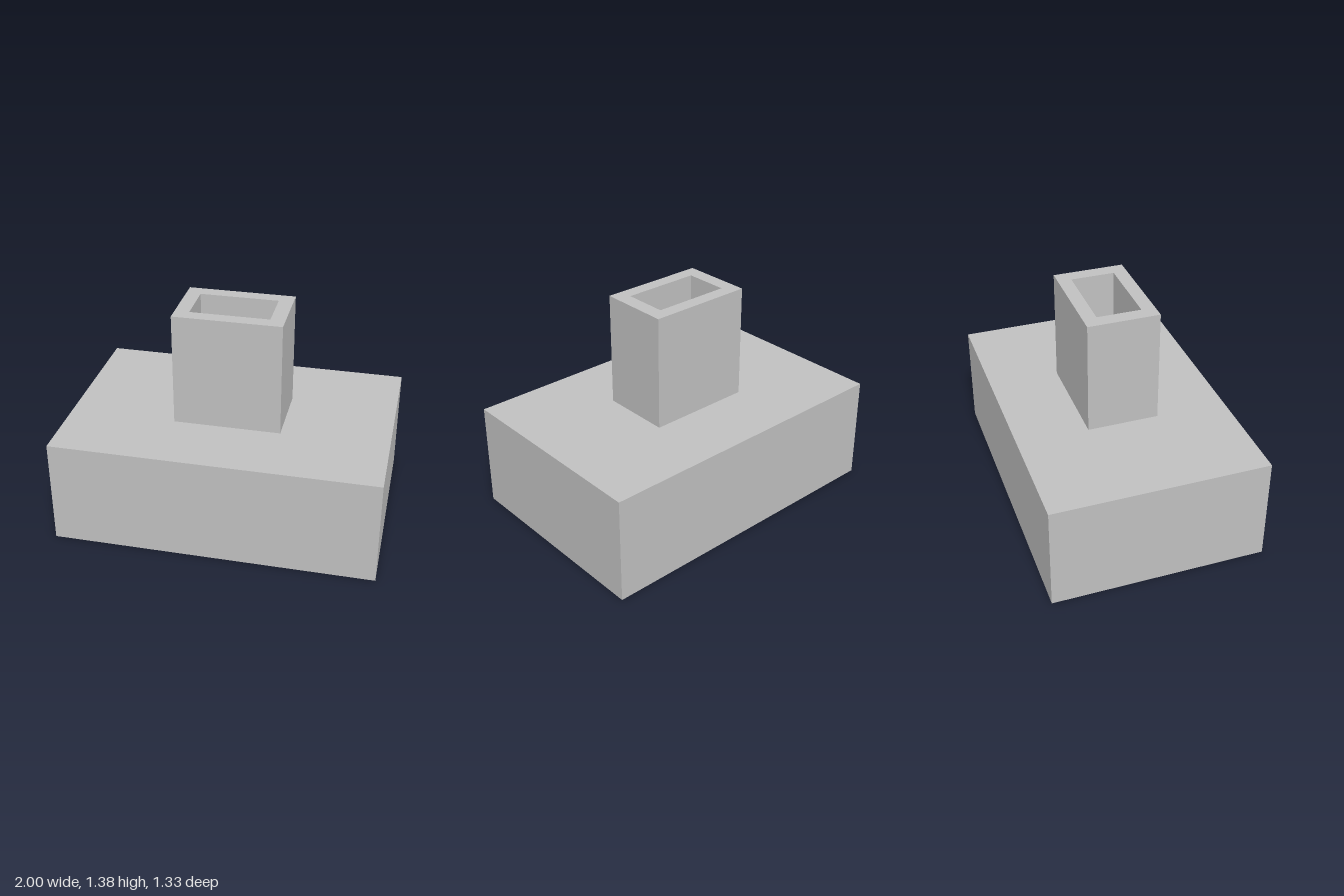
import * as THREE from 'three';

const WIDTH = 2, DEPTH = 1.333, BASE_H = 0.667, TOP = 1.38;

// Rectangle centred on the origin
function rectangle(PathType, w, d) {
  const x = w / 2, y = d / 2;
  return new PathType([
    new THREE.Vector2(-x, -y), new THREE.Vector2(x, -y),
    new THREE.Vector2(x, y), new THREE.Vector2(-x, y),
  ]);
}

export function createModel() {
  const model = new THREE.Group();
  model.name = 'pocketFooting';
  const concrete = new THREE.MeshStandardMaterial({ color: 0xc0c0c0 });
  concrete.name = 'concrete grey';

  // Footing block
  const footing = new THREE.Mesh(new THREE.BoxGeometry(WIDTH, BASE_H, DEPTH), concrete);
  footing.name = 'footing';
  footing.position.y = BASE_H / 2;
  model.add(footing);

  // Hollow rectangular sleeve standing on the footing
  const outline = rectangle(THREE.Shape, 0.667, 0.444);
  outline.holes.push(rectangle(THREE.Path, 0.487, 0.273));
  const sleeveGeometry = new THREE.ExtrudeGeometry(outline, { depth: TOP - BASE_H, bevelEnabled: false });
  sleeveGeometry.rotateX(-Math.PI / 2);
  const sleeve = new THREE.Mesh(sleeveGeometry, concrete);
  sleeve.name = 'sleeve';
  sleeve.position.y = BASE_H;
  model.add(sleeve);

  return model;
}
